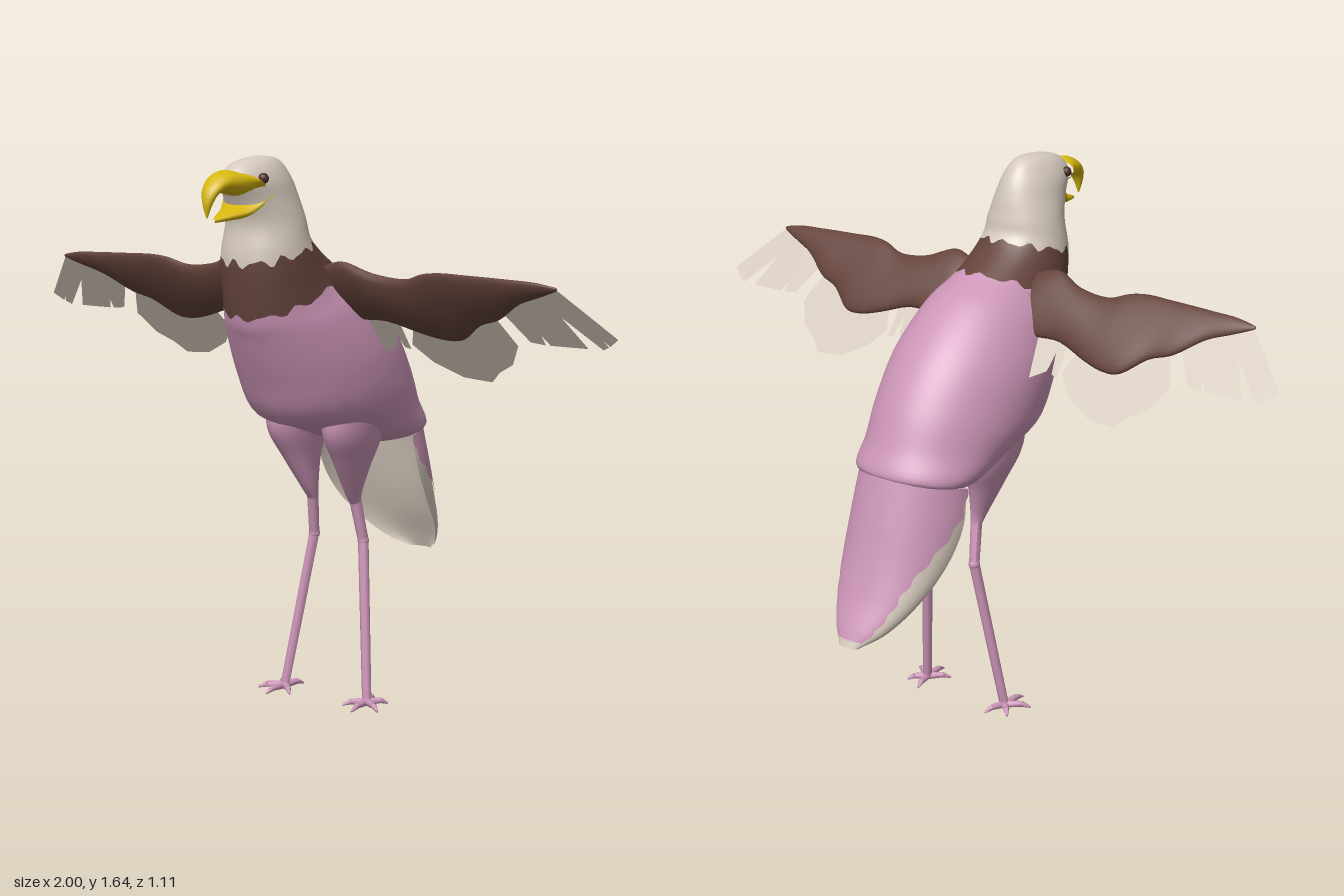
import * as THREE from 'three';

const V = (x, y, z) => new THREE.Vector3(x, y, z);
const mat = (name, color, side = THREE.FrontSide) => {
  const m = new THREE.MeshStandardMaterial({ color, side });
  m.name = name;
  return m;
};

// Smooth surface through elliptical sections { c: centre, a: half axis, w: other half axis }.
// Rows run between section numbers t0(u) and t1(u); columns sweep angles u0(t) to u1(t).
function loft(sections, { t0 = () => 0, t1 = () => sections.length - 1, rows = 24, cols = 40, arc = null } = {}) {
  const n = sections.length - 1;
  const [c, a, w] = ['c', 'a', 'w'].map(k =>
    new THREE.CatmullRomCurve3(sections.map(s => s[k]), false, 'catmullrom', 0.5));
  const pos = [], index = [], stride = arc ? cols + 1 : cols;
  for (let i = 0; i <= rows; i++) {
    for (let j = 0; j < stride; j++) {
      const f = j / cols;
      const t = THREE.MathUtils.lerp(t0(f), t1(f), i / rows) / n;
      const u = arc ? (f * 2 - 1) * arc(t) : f * Math.PI * 2;
      const p = c.getPoint(t).addScaledVector(a.getPoint(t), Math.cos(u)).addScaledVector(w.getPoint(t), Math.sin(u));
      pos.push(p.x, p.y, p.z);
    }
  }
  for (let i = 0; i < rows; i++) {
    for (let j = 0; j < cols; j++) {
      const k = (j + 1) % stride, p = i * stride, q = p + stride;
      index.push(p + j, q + j, p + k, p + k, q + j, q + k);
    }
  }
  const g = new THREE.BufferGeometry();
  g.setAttribute('position', new THREE.Float32BufferAttribute(pos, 3));
  g.setIndex(index);
  g.computeVertexNormals();
  return g;
}

// Section from two opposite points in the side plane (z, y) and a half width
const span = ([z1, y1, z2, y2, w, x = 0]) => ({
  c: V(x, (y1 + y2) / 2, (z1 + z2) / 2),
  a: V(0, (y1 - y2) / 2, (z1 - z2) / 2),
  w: V(w, 0, 0),
});

// Tapered round limb between two points
function limb(p, q, r1, r2) {
  const d = q.clone().sub(p);
  const g = new THREE.CylinderGeometry(r2, r1, d.length(), 8);
  g.applyQuaternion(new THREE.Quaternion().setFromUnitVectors(V(0, 1, 0), d.normalize()));
  g.translate((p.x + q.x) / 2, (p.y + q.y) / 2, (p.z + q.z) / 2);
  return g;
}

function mirrored(geo) {
  const g = geo.clone().scale(-1, 1, 1), ix = g.index.array;
  for (let i = 0; i < ix.length; i += 3) [ix[i], ix[i + 1]] = [ix[i + 1], ix[i]];
  g.computeVertexNormals();
  return g;
}

// Ragged edge between two plumage colours
const ragged = (base, amp) => f => base + amp * (Math.sin(f * Math.PI * 22) + 0.6 * Math.sin(f * Math.PI * 34 + 1));

export function createModel() {
  const model = new THREE.Group();
  model.name = 'bird';
  const pink = mat('pink plumage', 0xcc95b7);
  const brown = mat('brown plumage', 0x64433b);
  const cream = mat('cream plumage', 0xd6cabd, THREE.DoubleSide);
  const yellow = mat('yellow beak', 0xd6b60e);
  const dark = mat('dark eye', 0x4c2c2e);

  const add = (name, geo, m) => {
    const mesh = new THREE.Mesh(geo, m);
    mesh.name = name;
    model.add(mesh);
  };
  const pair = (name, geo, m) => {
    add(name + 'Left', geo, m);
    add(name + 'Right', mirrored(geo), m);
  };

  // Head, neck and body: front z, y, back z, y, half width
  const body = [
    [0.335, 1.642, 0.335, 1.642, 0],
    [0.42, 1.622, 0.25, 1.633, 0.045],
    [0.455, 1.58, 0.205, 1.585, 0.078],
    [0.425, 1.52, 0.182, 1.525, 0.095],
    [0.40, 1.45, 0.17, 1.47, 0.112],
    [0.41, 1.345, 0.15, 1.41, 0.13],
    [0.39, 1.19, 0.04, 1.335, 0.155],
    [0.36, 1.12, -0.08, 1.27, 0.19],
    [0.30, 1.0, -0.21, 1.15, 0.22],
    [0.23, 0.885, -0.30, 1.02, 0.222],
    [0.10, 0.84, -0.35, 0.91, 0.205],
    [-0.10, 0.775, -0.385, 0.83, 0.18],
    [-0.20, 0.785, -0.31, 0.81, 0.08],
    [-0.25, 0.80, -0.25, 0.80, 0],
  ].map(span);
  const collarTop = ragged(5, 0.08), collarEnd = ragged(6, 0.06);
  add('head', loft(body, { t1: collarTop, cols: 72 }), cream);
  add('collar', loft(body, { t0: collarTop, t1: collarEnd, rows: 8, cols: 72 }), brown);
  add('body', loft(body, { t0: collarEnd, rows: 36, cols: 72 }), pink);

  // Tail: hollow shell, rows of crest z, y, rim z, y, half width
  const tail = (grow) => [
    [-0.385, 0.83, -0.215, 0.79, 0.172],
    [-0.42, 0.71, -0.24, 0.68, 0.18],
    [-0.455, 0.59, -0.305, 0.575, 0.17],
    [-0.49, 0.495, -0.395, 0.48, 0.14],
    [-0.53, 0.415, -0.475, 0.405, 0.09],
    [-0.552, 0.365, -0.535, 0.365, 0.035],
  ].map(([cz, cy, ez, ey, w]) => ({
    c: V(0, ey, ez),
    a: V(0, cy - ey, cz - ez).multiplyScalar(grow),
    w: V(-w * grow, 0, 0),
  }));
  add('tailFeathers', loft(tail(1), { arc: () => Math.PI / 2 }), cream);
  add('tailCover', loft(tail(1.02), {
    t1: ragged(4.55, 0.06), rows: 40,
    arc: t => Math.PI / 2 * (1 - 0.45 * THREE.MathUtils.smoothstep(t, 0.02, 0.55) + 0.025 * Math.sin(t * 55)),
  }), pink);

  // Hooked beak
  add('upperBeak', loft([
    [0.44, 1.60, 0.36, 1.545, 0.082],
    [0.47, 1.607, 0.43, 1.535, 0.056],
    [0.51, 1.593, 0.49, 1.548, 0.04],
    [0.545, 1.56, 0.52, 1.54, 0.028],
    [0.557, 1.52, 0.536, 1.515, 0.015],
    [0.55, 1.48, 0.548, 1.48, 0.002],
  ].map(span), { cols: 20 }), yellow);
  add('lowerBeak', loft([
    [0.36, 1.55, 0.36, 1.525, 0.086],
    [0.42, 1.51, 0.41, 1.478, 0.058],
    [0.475, 1.492, 0.465, 1.469, 0.032],
    [0.52, 1.476, 0.52, 1.466, 0.005],
  ].map(span), { rows: 12, cols: 20 }), yellow);
  pair('eye', new THREE.SphereGeometry(0.015, 14, 10).translate(0.07, 1.583, 0.387), dark);

  // Wings lie on a slope: lower points sit further back
  const slopeZ = y => 0.19 - 0.7 * (1.34 - y);
  const wing = [
    [0.08, 1.31, 1.20, 0.015],
    [0.14, 1.335, 1.18, 0.026],
    [0.20, 1.345, 1.175, 0.028],
    [0.28, 1.315, 1.175, 0.028],
    [0.38, 1.305, 1.145, 0.026],
    [0.45, 1.325, 1.13, 0.025],
    [0.51, 1.332, 1.135, 0.023],
    [0.58, 1.33, 1.182, 0.02],
    [0.65, 1.328, 1.205, 0.018],
    [0.73, 1.325, 1.255, 0.014],
    [0.80, 1.322, 1.28, 0.01],
    [0.86, 1.312, 1.302, 0.004],
  ].map(([x, top, low, h]) => ({
    c: V(x, (top + low) / 2, slopeZ((top + low) / 2)),
    a: V(0, (top - low) / 2, 0.35 * (top - low)),
    w: V(0, 0.57 * h, -0.82 * h),
  }));
  const closed = [{ c: wing[0].c, a: V(0, 0, 0), w: V(0, 0, 0) }, ...wing,
    { c: wing[11].c, a: V(0, 0, 0), w: V(0, 0, 0) }];
  pair('wing', loft(closed, { rows: 52, cols: 20 }), brown);

  // Flight feathers: flat outlines (x, y) laid on the wing slope
  const feathers = {
    innerFeather: [[0.20, 1.20], [0.225, 1.075], [0.275, 1.10], [0.29, 1.20]],
    innerSliver: [[0.27, 1.20], [0.295, 1.095], [0.315, 1.09], [0.31, 1.20]],
    middleFeathers: [[0.37, 1.20], [0.325, 1.105], [0.375, 1.055], [0.46, 1.015], [0.55, 1.008],
      [0.585, 1.04], [0.64, 1.07], [0.68, 1.13], [0.63, 1.23], [0.5, 1.22]],
    outerFeather1: [[0.66, 1.24], [0.725, 1.145], [0.77, 1.14], [0.755, 1.28], [0.70, 1.28]],
    outerFeather2: [[0.70, 1.27], [0.785, 1.14], [0.90, 1.14], [0.81, 1.295], [0.75, 1.295]],
    outerFeather3: [[0.775, 1.295], [0.945, 1.14], [0.965, 1.15], [0.855, 1.305]],
    outerFeather4: [[0.80, 1.30], [0.97, 1.152], [1.0, 1.175], [0.858, 1.31]],
  };
  for (const [name, outline] of Object.entries(feathers)) {
    const g = new THREE.ShapeGeometry(new THREE.Shape(outline.map(p => new THREE.Vector2(...p))));
    const p = g.attributes.position;
    for (let i = 0; i < p.count; i++) p.setZ(i, slopeZ(p.getY(i)));
    g.computeVertexNormals();
    pair(name, g, cream);
  }

  // Legs and feet
  pair('thigh', loft([
    [0.12, 0.93, -0.14, 0.93, 0.08, 0.10],
    [0.12, 0.83, -0.12, 0.80, 0.065, 0.10],
    [0.065, 0.74, -0.09, 0.72, 0.043, 0.092],
    [0.0, 0.645, -0.07, 0.64, 0.024, 0.08],
    [-0.035, 0.60, -0.068, 0.60, 0.016, 0.077],
  ].map(span), { cols: 20 }), pink);
  const knee = V(0.077, 0.62, -0.048), hock = V(0.09, 0.485, -0.075), ankle = V(0.152, 0.012, -0.005);
  pair('upperLeg', limb(knee, hock, 0.018, 0.016), pink);
  pair('hock', new THREE.SphereGeometry(0.0175, 10, 8).translate(hock.x, hock.y, hock.z), pink);
  pair('lowerLeg', limb(hock, ankle, 0.016, 0.014), pink);
  const toes = [[0.005, 0.088], [0.068, 0.045], [-0.055, 0.05], [0.045, -0.045], [-0.02, -0.07]];
  toes.forEach(([dx, dz], i) => {
    const mid = V(ankle.x + dx * 0.65, 0.014, ankle.z + dz * 0.65);
    pair('toe' + (i + 1), limb(ankle, mid, 0.012, 0.009), pink);
    pair('claw' + (i + 1), limb(mid, V(ankle.x + dx, 0.004, ankle.z + dz), 0.009, 0.003), pink);
  });
  return model;
}
